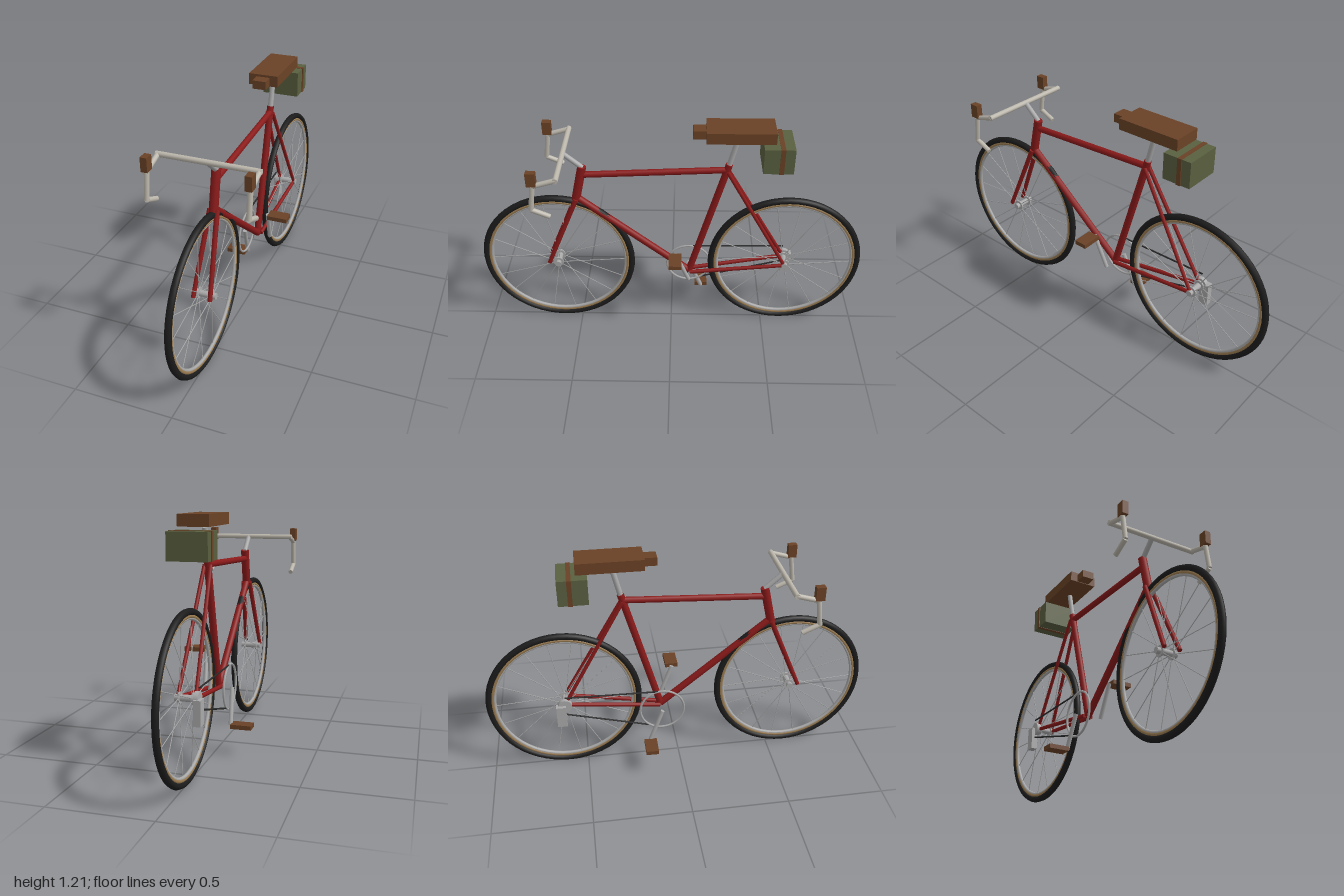
import * as THREE from 'three';

const mat = (color) => new THREE.MeshStandardMaterial({ color });
const RED = mat(0x8b1a1a), BROWN = mat(0x6b4226), OLIVE = mat(0x5a6040), RUBBER = mat(0x1c1c1c),
  TAN = mat(0x9c7d52), STEEL = mat(0xaaaaaa), TAPE = mat(0xbdb8ad), DARK = mat(0x2a2a2a);
const WHEEL_Y = 0.403, WHEEL_Z = 0.597;

function add(parent, name, geometry, material, pos = [0, 0, 0]) {
  const m = new THREE.Mesh(geometry, material);
  m.name = name;
  m.position.set(...pos);
  parent.add(m);
  return m;
}

// Straight tube between two points; r2 is the radius at the far end
function tube(parent, name, a, b, r, material, r2 = r, sides = 10) {
  const A = new THREE.Vector3(...a), B = new THREE.Vector3(...b);
  const d = B.clone().sub(A);
  const m = add(parent, name, new THREE.CylinderGeometry(r2, r, d.length(), sides), material);
  m.position.copy(A).add(B).multiplyScalar(0.5);
  m.quaternion.setFromUnitVectors(new THREE.Vector3(0, 1, 0), d.normalize());
  return m;
}

function box(parent, name, size, pos, material) {
  return add(parent, name, new THREE.BoxGeometry(...size), material, pos);
}

// Ring standing in the plane of the wheels
function ring(parent, name, R, r, material, sides = 8) {
  const g = new THREE.TorusGeometry(R, r, sides, 56);
  g.rotateY(Math.PI / 2);
  return add(parent, name, g, material);
}

function wheel(name, z) {
  const w = new THREE.Group();
  w.name = name;
  w.position.set(0, WHEEL_Y, z);
  ring(w, 'tyre', 0.386, 0.017, RUBBER);
  ring(w, 'tyreWall', 0.366, 0.011, TAN);
  ring(w, 'rim', 0.357, 0.009, STEEL);
  tube(w, 'hub', [-0.055, 0, 0], [0.055, 0, 0], 0.016, STEEL);
  for (const s of [-1, 1]) tube(w, 'hubFlange', [s * 0.028, 0, 0], [s * 0.036, 0, 0], 0.028, STEEL, 0.028, 14);
  // Spokes alternate between the two hub flanges
  for (let i = 0; i < 18; i++) {
    const a = i / 18 * Math.PI * 2, c = Math.cos(a), s = Math.sin(a);
    tube(w, 'spoke', [i % 2 ? 0.032 : -0.032, s * 0.022, c * 0.022], [0, s * 0.355, c * 0.355], 0.0022, STEEL, 0.0022, 5);
  }
  return w;
}

export function createModel() {
  const bike = new THREE.Group();
  bike.name = 'bicycle';
  bike.add(wheel('frontWheel', WHEEL_Z), wheel('rearWheel', -WHEEL_Z));

  // Frame
  const frame = new THREE.Group();
  frame.name = 'frame';
  bike.add(frame);
  const bb = [0, 0.33, -0.095], seatTop = [0, 1.0, -0.282];
  tube(frame, 'seatTube', bb, seatTop, 0.018, RED);
  tube(frame, 'topTube', [0, 0.932, 0.45], [0, 0.968, -0.275], 0.016, RED);
  tube(frame, 'headTube', [0, 0.785, 0.48], [0, 0.98, 0.436], 0.022, RED);
  tube(frame, 'downTube', [0, 0.8, 0.477], bb, 0.018, RED);
  for (const s of [-1, 1]) {
    tube(frame, 'forkBlade', [s * 0.018, 0.795, 0.478], [s * 0.042, 0.405, 0.643], 0.013, RED, 0.011);
    tube(frame, 'chainStay', [s * 0.018, 0.33, -0.1], [s * 0.042, 0.403, -0.595], 0.011, RED, 0.010);
    tube(frame, 'seatStay', [s * 0.015, 0.965, -0.275], [s * 0.042, 0.405, -0.595], 0.010, RED, 0.009);
  }

  // Saddle and bag
  tube(bike, 'seatPost', seatTop, [0, 1.145, -0.318], 0.0135, STEEL);
  box(bike, 'saddle', [0.15, 0.056, 0.325], [0, 1.182, -0.328], BROWN);
  box(bike, 'saddleNose', [0.068, 0.042, 0.07], [0, 1.178, -0.138], BROWN);
  box(bike, 'saddleBag', [0.192, 0.13, 0.145], [0, 1.073, -0.508], OLIVE);
  box(bike, 'bagStrap', [0.2, 0.134, 0.022], [0, 1.073, -0.522], BROWN);

  // Handlebar with dropped ends and brake hoods
  const bars = new THREE.Group();
  bars.name = 'handlebar';
  bike.add(bars);
  tube(bars, 'stem', [0, 0.975, 0.436], [0, 1.053, 0.525], 0.013, STEEL);
  tube(bars, 'crossBar', [-0.248, 1.053, 0.525], [0.248, 1.053, 0.525], 0.0135, TAPE);
  for (const s of [-1, 1]) {
    const x = s * 0.238;
    const path = [[x, 1.053, 0.525], [x, 1.02, 0.635], [x, 0.888, 0.652], [x, 0.85, 0.567]];
    for (let i = 0; i < 3; i++) tube(bars, 'dropBar', path[i], path[i + 1], 0.0125, TAPE);
    box(bars, 'brakeHood', [0.032, 0.07, 0.045], [x, 1.06, 0.636], BROWN);
  }

  // Chainring, cranks and pedals
  const drive = new THREE.Group();
  drive.name = 'drivetrain';
  bike.add(drive);
  ring(drive, 'chainring', 0.116, 0.006, STEEL, 6).position.set(-0.06, 0.33, -0.093);
  for (const [s, y, z] of [[1, 0.503, -0.022], [-1, 0.15, -0.163]]) {
    tube(drive, 'crankArm', [s * 0.072, 0.327, -0.093], [s * 0.084, y, z], 0.011, STEEL);
    box(drive, 'pedal', [0.106, 0.022, 0.066], [s * 0.143, y, z], BROWN);
  }

  // Rear sprocket, gear changer and chain
  tube(drive, 'sprocket', [-0.04, WHEEL_Y, -WHEEL_Z], [-0.062, WHEEL_Y, -WHEEL_Z], 0.036, STEEL, 0.036, 16);
  box(drive, 'gearChanger', [0.034, 0.12, 0.05], [-0.062, 0.348, -0.618], STEEL);
  tube(drive, 'upperChain', [-0.06, 0.445, -0.093], [-0.06, 0.455, -0.595], 0.0045, DARK, 0.0045, 6);
  tube(drive, 'lowerChain', [-0.06, 0.235, -0.165], [-0.06, 0.353, -0.595], 0.0045, DARK, 0.0045, 6);
  return bike;
}
